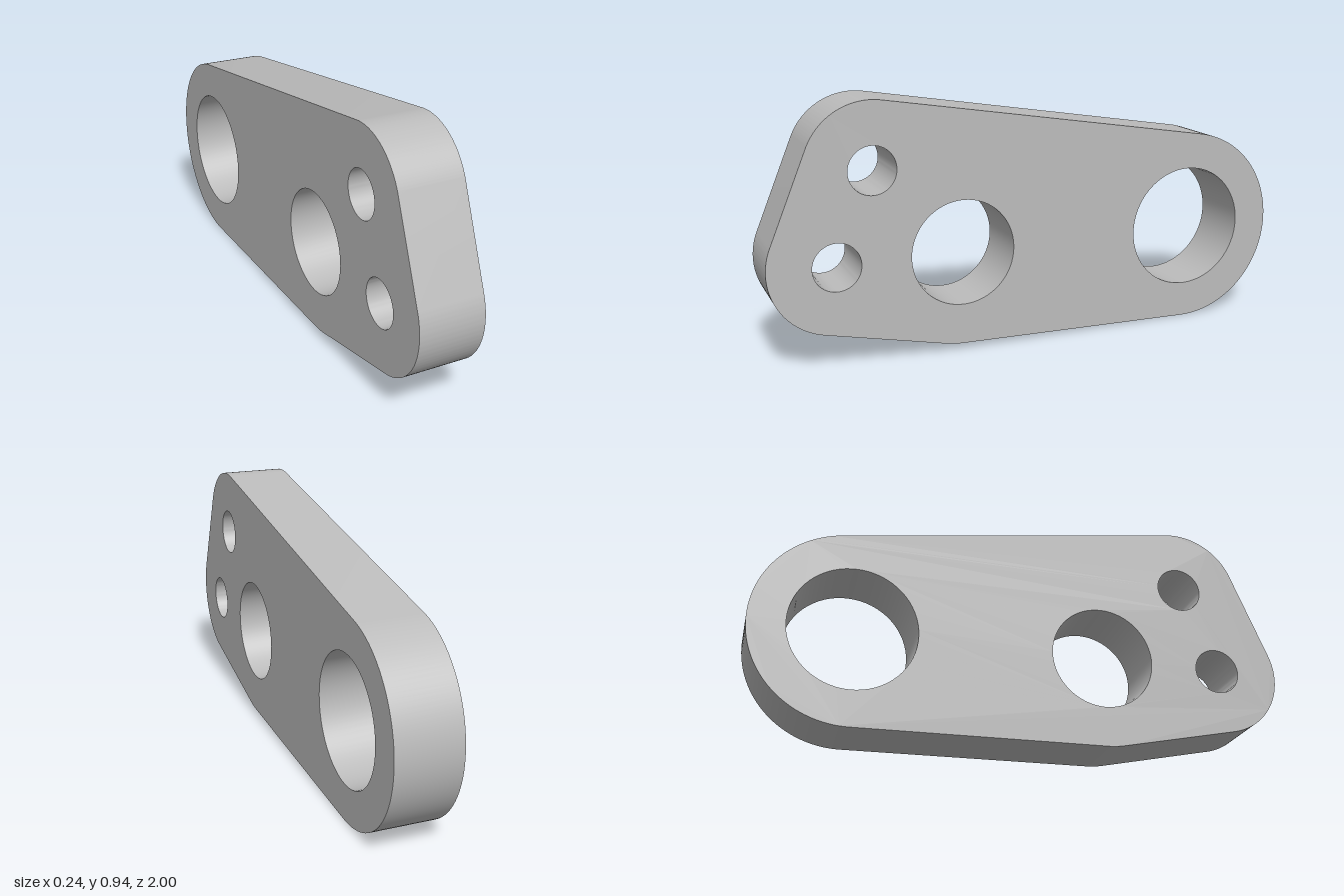
import * as THREE from 'three';
import { toCreasedNormals } from 'three/addons/utils/BufferGeometryUtils.js';

const THICKNESS = 0.24;

// Rounded corners of the plate and their holes, anticlockwise: z, y, corner radius, hole radius
const bosses = [
  { z: -0.633, y: 0.367, r: 0.367, hole: 0.232 },
  { z: 0.293, y: 0.368, r: 0.345, hole: 0.195 },
  { z: 0.756, y: 0.368, r: 0.244, hole: 0.087 },
  { z: 0.62, y: 0.697, r: 0.244, hole: 0.087 },
];

// Angle of the outward normal of the tangent line running from one corner to the next
function tangentAngle(a, b) {
  const dz = b.z - a.z, dy = b.y - a.y;
  return Math.atan2(dy, dz) - Math.acos((a.r - b.r) / Math.hypot(dz, dy));
}

function plateShape() {
  const shape = new THREE.Shape();
  const n = bosses.length;
  bosses.forEach((b, i) => {
    const start = tangentAngle(bosses[(i + n - 1) % n], b);
    const end = tangentAngle(b, bosses[(i + 1) % n]);
    shape.absarc(b.z, b.y, b.r, start, end, false);
    const hole = new THREE.Path();
    hole.absarc(b.z, b.y, b.hole, 0, Math.PI * 2, true);
    shape.holes.push(hole);
  });
  return shape;
}

export function createModel() {
  const model = new THREE.Group();
  model.name = 'linkPlate';

  const steel = new THREE.MeshStandardMaterial({ color: 0xbcbcbc });
  steel.name = 'light grey metal';

  // Flat link plate, stood on edge with its length along z
  const extruded = new THREE.ExtrudeGeometry(plateShape(), {
    depth: THICKNESS, bevelEnabled: false, curveSegments: 32,
  });
  extruded.rotateY(-Math.PI / 2).translate(THICKNESS / 2, 0, 0);
  const plate = new THREE.Mesh(toCreasedNormals(extruded, 0.6), steel);
  plate.name = 'plate';
  model.add(plate);

  return model;
}
